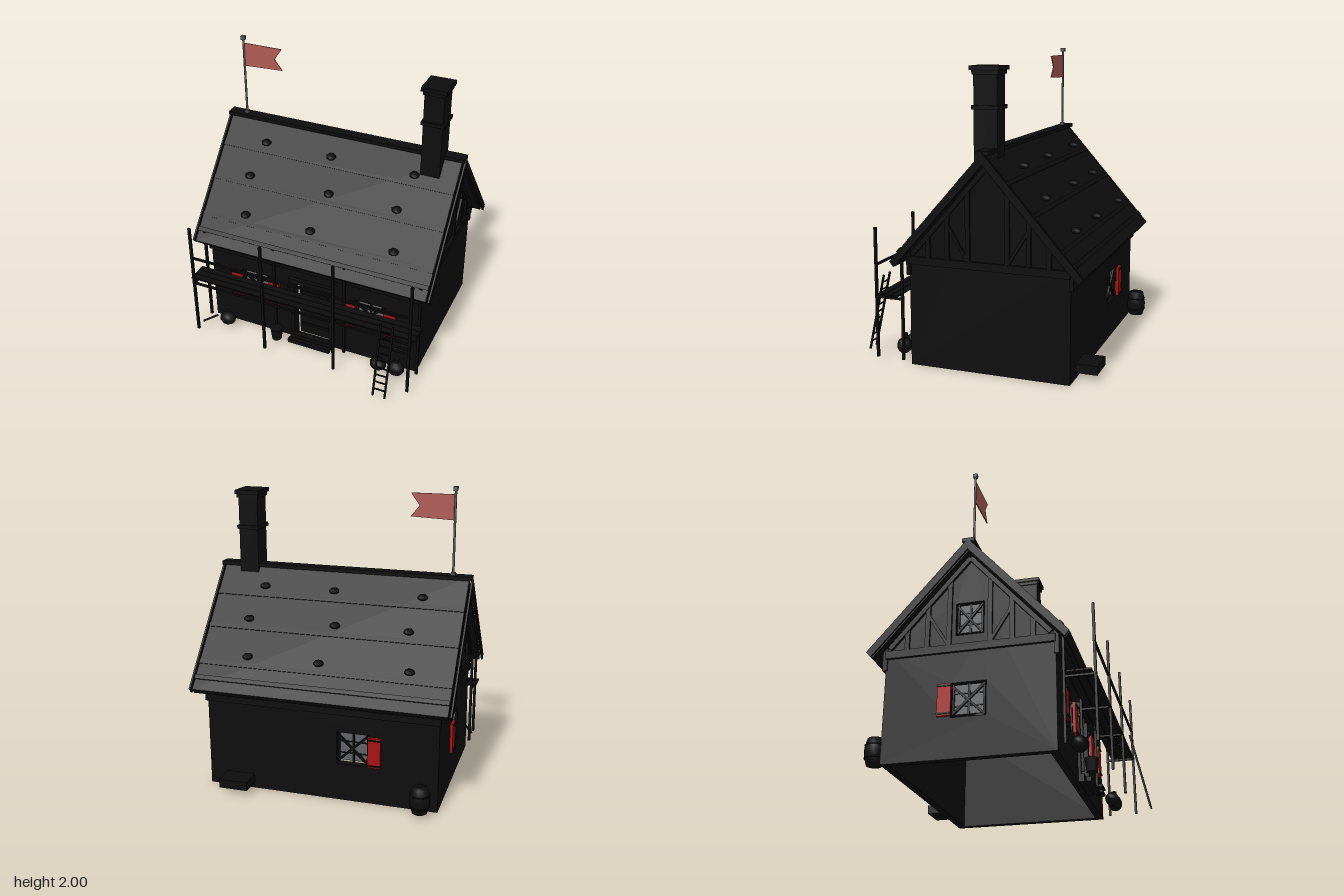
import * as THREE from 'three';

const mat = (name, color) => Object.assign(new THREE.MeshStandardMaterial({ color, side: THREE.DoubleSide }), { name });

export function createModel() {
  const charcoal = mat('charcoal timber', 0x0d0d0d);
  const red = mat('shutter red', 0xa81212);
  const cloth = mat('faded red cloth', 0xb05c56);
  const steel = mat('grey metal', 0x5c5c5c);
  const glass = mat('grey glass', 0x606366);
  const root = new THREE.Group();
  root.name = 'cottage';
  const Z0 = -0.105, SLOPE = 1.15, ANGLE = Math.atan(SLOPE);

  const add = (parent, name, geo, m, x = 0, y = 0, z = 0) => {
    const mesh = new THREE.Mesh(geo, m);
    mesh.name = name;
    mesh.position.set(x, y, z);
    parent.add(mesh);
    return mesh;
  };
  const box = (parent, name, w, h, d, x, y, z, m = charcoal) => add(parent, name, new THREE.BoxGeometry(w, h, d), m, x, y, z);
  const group = (name, x = 0, y = 0, z = 0) => {
    const g = new THREE.Group();
    g.name = name;
    g.position.set(x, y, z);
    root.add(g);
    return g;
  };
  // Square bar between two points
  const bar = (parent, name, a, b, t, m = charcoal) => {
    const p = new THREE.Vector3(...a), q = new THREE.Vector3(...b);
    const mesh = add(parent, name, new THREE.BoxGeometry(t, p.distanceTo(q), t), m);
    mesh.position.copy(p).lerp(q, 0.5);
    mesh.quaternion.setFromUnitVectors(new THREE.Vector3(0, 1, 0), q.sub(p).normalize());
    return mesh;
  };
  const poly = pts => new THREE.Shape(pts.map(p => new THREE.Vector2(...p)));
  const rect = (x, y, hw, hh) => poly([[x - hw, y - hh], [x + hw, y - hh], [x + hw, y + hh], [x - hw, y + hh]]);
  const slab = (shape, depth, holes = []) => {
    shape.holes.push(...holes);
    return new THREE.ExtrudeGeometry(shape, { depth, bevelEnabled: false });
  };

  // Walls, open below, with door and window openings
  const WX = 0.433, WY = 0.365;
  const house = group('walls');
  add(house, 'frontWall', slab(rect(0, 0.365, 0.775, 0.365), 0.05,
    [rect(-WX, WY, 0.11, 0.11), rect(WX, WY, 0.11, 0.11), rect(0, 0.25, 0.13, 0.24)]), charcoal, 0, 0, 0.38);
  add(house, 'backWall', slab(rect(0, 0.365, 0.775, 0.365), 0.05, [rect(-0.22, WY, 0.11, 0.11)]), charcoal, 0, 0, -0.64);
  for (const s of [-1, 1]) {
    const gable = poly([[-0.535, 0], [0.535, 0], [0.535, 0.74], [0, 1.35], [-0.535, 0.74]]);
    const geo = slab(gable, 0.05, s < 0 ? [rect(0, WY, 0.11, 0.11), rect(0, 0.9, 0.09, 0.11)] : []);
    geo.rotateY(s * Math.PI / 2);
    add(house, 'gableWall', geo, charcoal, s * 0.73, 0, Z0);
    // Gable timbers
    const tx = s * 0.785;
    box(house, 'gableBeam', 0.03, 0.05, 1.07, tx, 0.7, Z0);
    for (const d of [-0.4, -0.27, -0.13, 0.13, 0.27, 0.4]) {
      const top = 1.33 - SLOPE * Math.abs(d);
      box(house, 'gablePost', 0.02, top - 0.7, 0.03, tx, (top + 0.7) / 2, Z0 + d);
    }
    for (const k of [-1, 1]) {
      bar(house, 'gableRafter', [tx, 0.74, Z0 + k * 0.51], [tx, 1.32, Z0], 0.03);
      bar(house, 'gableBrace', [tx, 0.72, Z0 + k * 0.13], [tx, 0.95, Z0 + k * 0.27], 0.02);
    }
  }
  for (const z of [0.435, -0.645]) box(house, 'eaveBeam', 1.58, 0.15, 0.03, 0, 0.675, z);

  // Roof with verge boards, ridge cap, battens and clumps
  const roof = group('roof', 0, 0, Z0);
  const chevron = () => poly([[0, 1.42], [-0.635, 0.70], [-0.605, 0.665], [0, 1.345], [0.605, 0.665], [0.635, 0.70]]);
  const along = (name, w, x) => add(roof, name, slab(chevron(), w).rotateY(Math.PI / 2), charcoal, x - w / 2);
  along('roofCovering', 1.69, 0);
  for (const s of [-1, 1]) along('vergeBoard', 0.012, s * 0.864);
  box(roof, 'ridgeCap', 1.73, 0.025, 0.08, 0, 1.416, 0);
  const clump = new THREE.SphereGeometry(0.036, 7, 5).scale(1, 0.6, 1);
  for (const s of [-1, 1]) {
    [0.14, 0.305, 0.485].forEach((d, row) => {
      const y = 1.42 - 1.134 * d;
      box(roof, 'batten', 1.69, 0.014, 0.03, 0, y - 0.02, s * (d + 0.017)).rotation.x = s * ANGLE;
      const offset = (row % 2 === 0) === (s > 0);
      for (const x of offset ? [-0.52, -0.03, 0.565] : [-0.57, 0.025, 0.51])
        add(roof, 'roofClump', clump, charcoal, x, y + 0.04, s * d);
    });
    box(roof, 'eaveBatten', 1.69, 0.014, 0.03, 0, 0.77, s * 0.58).rotation.x = s * ANGLE;
  }

  // Windows, recessed with a narrow gap around the frame; shutters open at the sides
  const makeWindow = (x, y, z, ry, sides, hw = 0.1) => {
    const g = group('window', x, y, z);
    g.rotation.y = ry;
    box(g, 'glass', hw * 2, 0.19, 0.006, 0, 0.008, -0.025, glass);
    box(g, 'mullion', 0.014, 0.2, 0.02, 0, 0.005, -0.025);
    for (const h of [-0.035, 0.045]) box(g, 'glazingBar', hw * 2, 0.008, 0.016, 0, h, -0.025);
    for (const s of [-1, 1]) {
      bar(g, 'crossBar', [-hw, -s * 0.09, -0.012], [hw, s * 0.1, -0.012], 0.014);
      box(g, 'jamb', 0.012, 0.2, 0.03, s * (hw - 0.004), 0.005, -0.025);
    }
    for (const s of sides) {
      const cx = s * (hw + 0.045);
      box(g, 'shutter', 0.085, 0.205, 0.02, cx, 0, 0.014, red);
      for (const h of [-0.088, 0.088]) box(g, 'shutterHinge', 0.088, 0.01, 0.008, cx, h, 0.026);
    }
  };
  makeWindow(-WX, WY, 0.43, 0, [-1, 1]);
  makeWindow(WX, WY, 0.43, 0, [-1, 1]);
  makeWindow(-0.22, WY, -0.64, Math.PI, [1]);
  makeWindow(-0.78, WY, Z0, -Math.PI / 2, [-1]);
  makeWindow(-0.78, 0.9, Z0, -Math.PI / 2, [], 0.08);

  // Door, steps and hanging shield
  const door = group('door');
  box(door, 'doorPanel', 0.235, 0.45, 0.025, 0.01, 0.262, 0.39);
  for (const y of [0.12, 0.25, 0.4]) box(door, 'doorBand', 0.2, 0.02, 0.01, 0.01, y, 0.406);
  for (const s of [-1, 1]) box(door, 'doorPost', 0.03, 0.52, 0.02, s * 0.145, 0.26, 0.437);
  box(door, 'lintel', 0.34, 0.035, 0.03, 0, 0.51, 0.44);
  box(door, 'step', 0.32, 0.05, 0.035, 0, 0.025, 0.45);
  box(door, 'lowerStep', 0.32, 0.03, 0.03, 0, 0.015, 0.495);
  const shield = poly([[-0.04, 0.05], [-0.04, -0.015], [0, -0.05], [0.04, -0.015], [0.04, 0.05]]);
  add(root, 'shield', slab(shield, 0.008), cloth, -0.19, 0.37, 0.465);
  box(root, 'shieldBracket', 0.02, 0.02, 0.04, -0.19, 0.43, 0.45);

  // Chimney
  const chimney = group('chimney', 0.66, 0, -0.073);
  box(chimney, 'stack', 0.132, 0.72, 0.155, 0, 1.52, 0);
  box(chimney, 'band', 0.155, 0.025, 0.178, 0, 1.675, 0);
  box(chimney, 'capBase', 0.15, 0.03, 0.172, 0, 1.888, 0);
  box(chimney, 'cap', 0.172, 0.027, 0.195, 0, 1.912, 0);

  // Flag on the ridge
  const flag = group('flag', -0.738, 0, Z0);
  add(flag, 'flagPole', new THREE.CylinderGeometry(0.008, 0.008, 0.57, 8), steel, 0, 1.705, 0);
  box(flag, 'poleTip', 0.028, 0.026, 0.028, 0, 1.987, 0, steel);
  box(flag, 'poleFoot', 0.028, 0.026, 0.028, 0, 1.433, 0, steel);
  add(flag, 'pennant', slab(poly([[0.008, 1.785], [0.288, 1.797], [0.232, 1.87], [0.288, 1.95], [0.008, 1.95]]), 0.006), cloth, 0, 0, -0.003);

  // Scaffold with posts, planks, rails and brace
  const scaffold = group('scaffold');
  for (const x of [-0.798, -0.262, 0.262, 0.798]) {
    box(scaffold, 'outerPost', 0.018, 0.865, 0.016, x, 0.463, 0.663);
    box(scaffold, 'innerPost', 0.018, 0.73, 0.016, x, 0.395, 0.478);
    box(scaffold, 'bearer', 0.016, 0.014, 0.19, x, 0.437, 0.57);
  }
  for (const z of [0.523, 0.573, 0.623]) box(scaffold, 'plank', 1.66, 0.01, 0.046, 0, 0.459, z);
  box(scaffold, 'guardRail', 1.62, 0.014, 0.014, 0, 0.65, 0.661);
  box(scaffold, 'ledger', 1.62, 0.014, 0.014, 0, 0.437, 0.661);
  bar(scaffold, 'brace', [-0.64, 0.19, 0.65], [-0.8, 0.04, 0.59], 0.012);

  // Ladder
  const ladder = group('ladder');
  for (const x of [0.602, 0.686]) bar(ladder, 'ladderRail', [x, 0.03, 0.785], [x, 0.55, 0.67], 0.012);
  for (let i = 1; i < 10; i++) {
    const t = i / 10;
    box(ladder, 'rung', 0.084, 0.008, 0.008, 0.644, 0.03 + 0.52 * t, 0.785 - 0.115 * t);
  }

  // Barrel, cellar hatch, sacks and bucket on the ground
  const stave = [[0, 0], [0.05, 0], [0.063, 0.05], [0.067, 0.085], [0.063, 0.12], [0.05, 0.17], [0, 0.17]].map(p => new THREE.Vector2(...p));
  const barrel = group('barrel', -0.68, 0.03, -0.717);
  add(barrel, 'barrelBody', new THREE.LatheGeometry(stave, 14), charcoal);
  for (const y of [0.045, 0.125]) add(barrel, 'hoop', new THREE.TorusGeometry(0.062, 0.005, 5, 14).rotateX(Math.PI / 2), charcoal, 0, y, 0);
  box(root, 'cellarHatch', 0.195, 0.06, 0.14, 0.563, 0.07, -0.71);
  const sack = new THREE.SphereGeometry(1, 10, 7);
  for (const [x, y, z, r, h] of [[0.54, 0.075, 0.535, 0.06, 0.045], [0.67, 0.08, 0.535, 0.06, 0.055], [-0.63, 0.08, 0.53, 0.06, 0.05]])
    add(root, 'sack', sack, charcoal, x, y, z).scale.set(r, h, 0.05);
  add(root, 'sackNeck', new THREE.CylinderGeometry(0.02, 0.013, 0.04, 8), charcoal, 0.67, 0.143, 0.53);
  add(root, 'bucket', new THREE.CylinderGeometry(0.045, 0.035, 0.09, 10), charcoal, -0.235, 0.075, 0.53);
  for (const y of [0.16, 0.2]) box(root, 'wallShelf', 0.12, 0.018, 0.03, 0.67, y, 0.445);

  return root;
}
